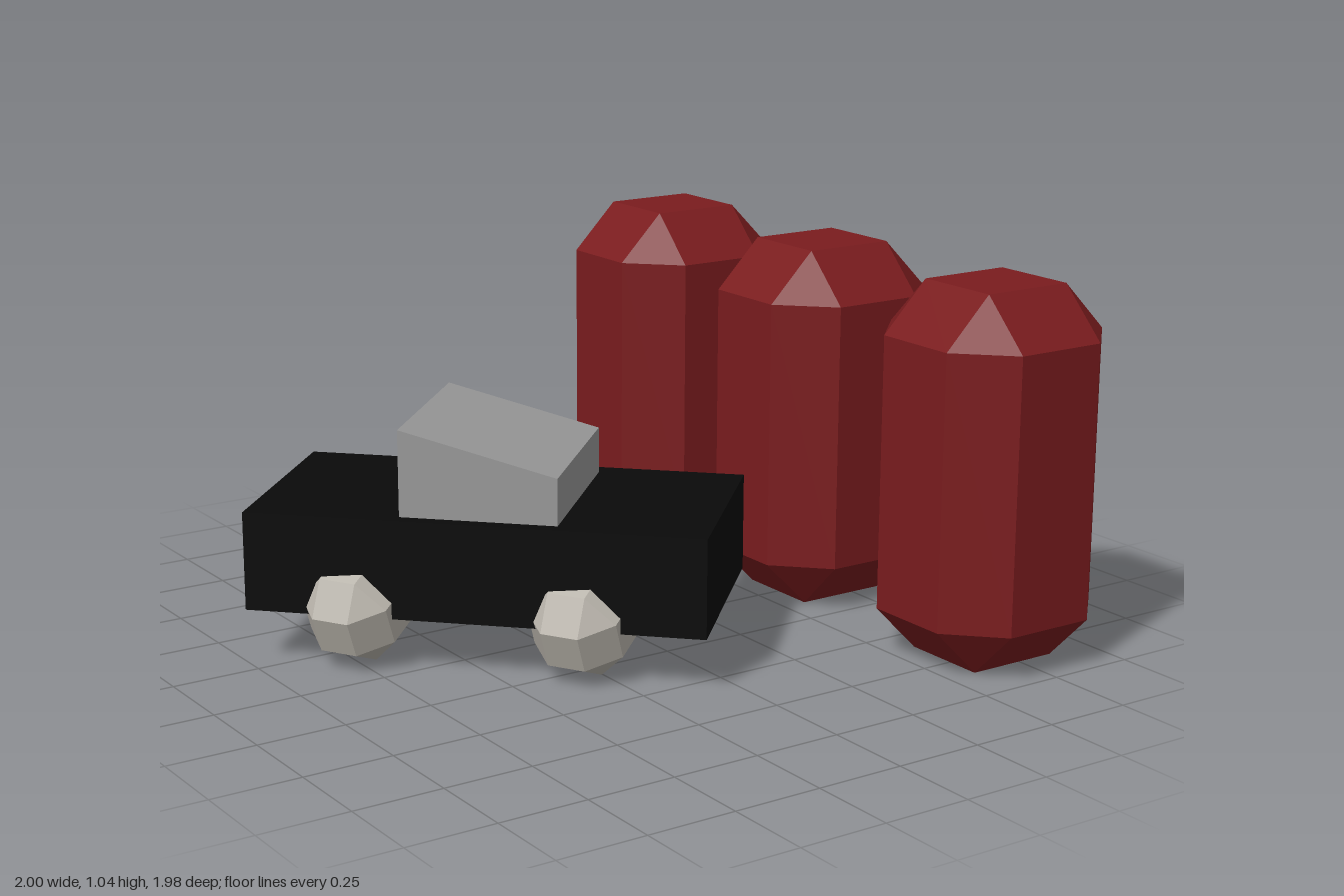
import * as THREE from 'three';
import { ConvexGeometry } from 'three/addons/geometries/ConvexGeometry.js';

// Box with every edge and corner cut by one flat bevel
function beveledBox(w, h, d, bevel) {
  const half = [w / 2, h / 2, d / 2];
  const points = [];
  for (const sx of [-1, 1]) for (const sy of [-1, 1]) for (const sz of [-1, 1]) {
    for (let axis = 0; axis < 3; axis++) {
      const p = half.map((s, i) => (i === axis ? s : s - bevel));
      points.push(new THREE.Vector3(sx * p[0], sy * p[1], sz * p[2]));
    }
  }
  return new ConvexGeometry(points);
}

function paint(color) {
  return new THREE.MeshStandardMaterial({ color, flatShading: true });
}

function addMesh(parent, name, geometry, material, x, y, z) {
  const mesh = new THREE.Mesh(geometry, material);
  mesh.name = name;
  mesh.position.set(x, y, z);
  parent.add(mesh);
  return mesh;
}

export function createModel() {
  const model = new THREE.Group();
  model.name = 'carAndBlocks';

  // Car, turned 45 degrees so its nose points to +x +z
  const car = new THREE.Group();
  car.name = 'car';
  car.position.set(-0.33, 0, -0.09);
  car.rotation.y = Math.PI / 4;
  model.add(car);
  addMesh(car, 'carBody', new THREE.BoxGeometry(0.63, 0.275, 1.266), paint(0x0a0a0a), 0, 0.2875, 0);

  // Cabin: a box whose roof slopes down to the nose
  const cabin = new THREE.BoxGeometry(0.538, 0.265, 0.434);
  const pos = cabin.attributes.position;
  for (let i = 0; i < pos.count; i++) {
    if (pos.getY(i) > 0 && pos.getZ(i) > 0) pos.setY(i, pos.getY(i) - 0.11);
  }
  cabin.computeVertexNormals();
  addMesh(car, 'cabin', cabin, paint(0x999999), -0.005, 0.5325, 0.009);

  // Faceted wheels resting on an edge, partly sunk into the body
  const wheelGeometry = beveledBox(0.265, 0.265, 0.265, 0.0777);
  wheelGeometry.rotateX(Math.PI / 8).rotateY(-Math.PI / 3);
  const wheelMaterial = paint(0xbbb6ad);
  const wheels = {
    frontLeftWheel: [0.14, -0.125],
    rearLeftWheel: [-0.36, -0.58],
    rearRightWheel: [-0.74, -0.16],
    frontRightWheel: [-0.295, 0.28],
  };
  for (const [name, [x, z]] of Object.entries(wheels)) {
    addMesh(model, name, wheelGeometry, wheelMaterial, x, 0.153, z);
  }

  // Row of tall beveled blocks beside the car
  const blockGeometry = beveledBox(0.547, 1.04, 0.528, 0.138);
  const blockMaterial = paint(0x7a1c1e);
  [[0.693, -0.728], [0.708, 0], [0.726, 0.725]].forEach(([x, z], i) => {
    addMesh(model, `block${i + 1}`, blockGeometry, blockMaterial, x, 0.52, z);
  });

  return model;
}
